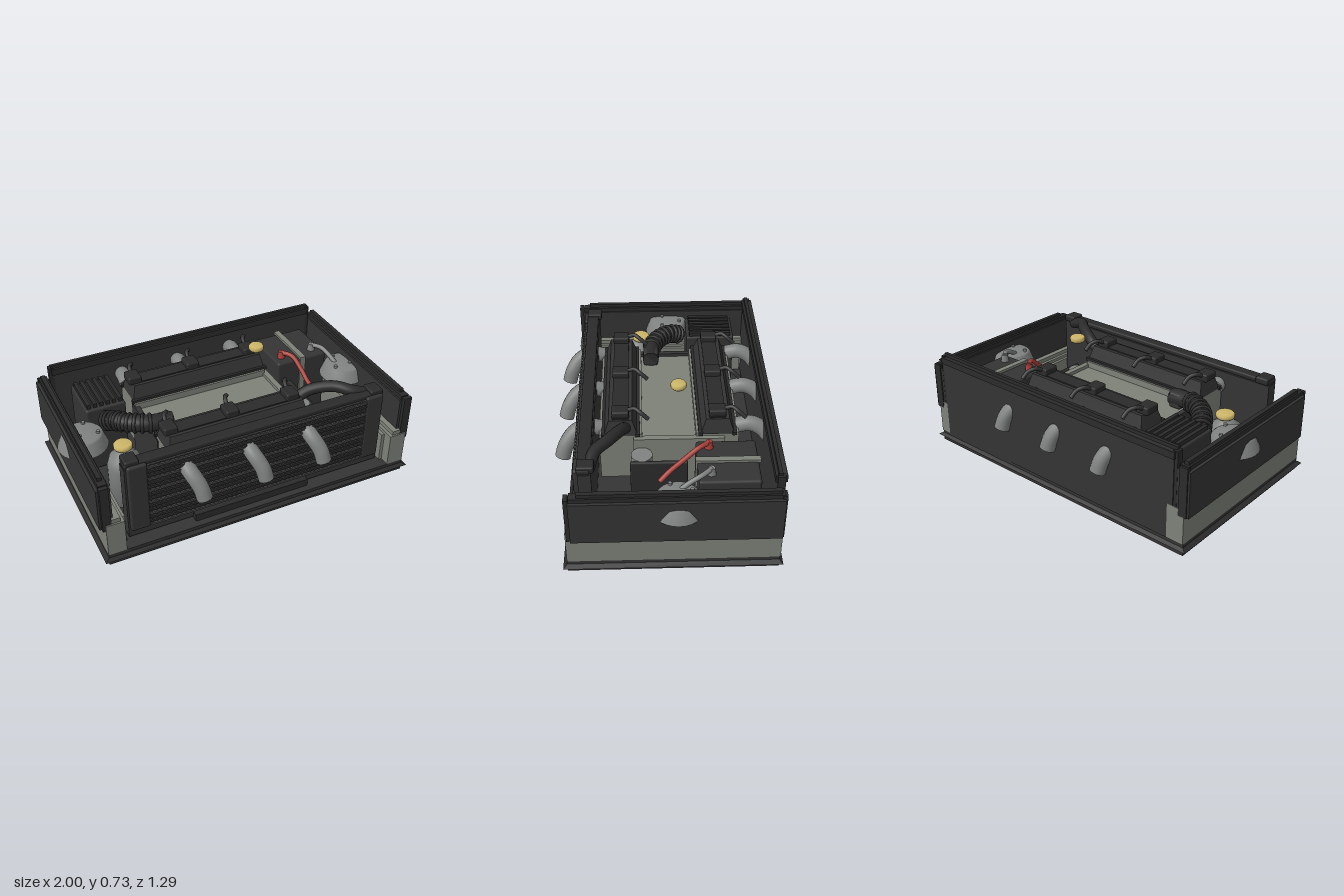
import * as THREE from 'three';
import { RoundedBoxGeometry } from 'three/addons/geometries/RoundedBoxGeometry.js';

const mat = (name, color) => {
  const m = new THREE.MeshStandardMaterial({ color });
  m.name = name;
  return m;
};

export function createModel() {
  const root = new THREE.Group();
  root.name = 'engineBay';
  const dark = mat('dark panel', 0x343434);
  const black = mat('black plastic', 0x2b2b2c);
  const mesh = mat('grille grey', 0x4c4d4c);
  const grey = mat('frame grey', 0x7d8178);
  const metal = mat('pipe metal', 0x7f8281);
  const gold = mat('cap yellow', 0xcdb669);
  const red = mat('cable red', 0xa8403a);

  const add = (name, geo, m, x = 0, y = 0, z = 0) => {
    const o = new THREE.Mesh(geo, m);
    o.name = name;
    o.position.set(x, y, z);
    root.add(o);
    return o;
  };
  // Box given by its limits on each axis
  const box = (name, m, x0, x1, y0, y1, z0, z1, r = 0) => {
    const s = [x1 - x0, y1 - y0, z1 - z0];
    const g = r ? new RoundedBoxGeometry(...s, 2, r) : new THREE.BoxGeometry(...s);
    return add(name, g, m, (x0 + x1) / 2, (y0 + y1) / 2, (z0 + z1) / 2);
  };
  // Four-sided block whose lower and upper rectangles differ
  const taper = (name, m, [w0, d0], [w1, d1], h, x, y, z) => {
    const g = new THREE.BoxGeometry(1, h, 1);
    const p = g.attributes.position;
    for (let i = 0; i < p.count; i++) {
      const up = p.getY(i) > 0;
      p.setX(i, p.getX(i) * (up ? w1 : w0));
      p.setZ(i, p.getZ(i) * (up ? d1 : d0));
    }
    g.computeVertexNormals();
    return add(name, g, m, x, y + h / 2, z);
  };
  const cyl = (name, m, r0, r1, h, x, y, z, n = 24) =>
    add(name, new THREE.CylinderGeometry(r1, r0, h, n), m, x, y + h / 2, z);
  const curve = (pts) => new THREE.CatmullRomCurve3(pts.map((p) => new THREE.Vector3(...p)));
  // Tube with closed ends
  const tube = (name, m, r, pts, n = 16) => {
    const c = curve(pts);
    const t = add(name, new THREE.TubeGeometry(c, n, r, 14), m);
    [0, 1].forEach((u) => {
      const cap = add(name + 'End', new THREE.CircleGeometry(r, 14), m);
      cap.position.copy(c.getPoint(u));
      const dir = c.getTangent(u).multiplyScalar(u ? 1 : -1);
      cap.quaternion.setFromUnitVectors(new THREE.Vector3(0, 0, 1), dir);
    });
    return t;
  };

  // Floor tray with pointed lip
  box('floorTray', dark, -0.935, 0.935, 0, 0.07, -0.57, 0.56);
  taper('trayLipLower', black, [1.87, 1.13], [1.92, 1.17], 0.015, 0, 0.02, -0.004);
  taper('trayLipUpper', black, [1.92, 1.17], [1.87, 1.13], 0.015, 0, 0.035, -0.004);

  // Sides: grey rails, dark wing panels, suspension towers
  for (const s of [-1, 1]) {
    const side = (name, m, a, b, ...rest) =>
      box(name, m, Math.min(s * a, s * b), Math.max(s * a, s * b), ...rest);
    side('sideRail', grey, 0.83, 0.935, 0.07, 0.275, -0.575, 0.56);
    side('railInnerStep', grey, 0.81, 0.85, 0.07, 0.255, -0.52, 0.5);
    side('wingLiner', grey, 0.85, 0.9, 0.27, 0.3, -0.56, 0.55);
    side('wingPanel', dark, 0.885, 0.962, 0.235, 0.5, -0.57, 0.53);
    side('wingTopTrim', black, 0.895, 0.945, 0.5, 0.525, -0.565, 0.525);
    side('wingTopBead', black, 0.91, 0.935, 0.525, 0.545, -0.55, 0.485);
    for (const z of [0.54, -0.565]) side('wingEndTrim', black, 0.9, 0.95, 0.235, 0.52, z - 0.012, z + 0.012);
    const tower = [[0.145, 0.375], [0.118, 0.445], [0.105, 0.455], [0.05, 0.463], [0, 0.465]];
    add('suspensionTower', new THREE.LatheGeometry(
      tower.map((p) => new THREE.Vector2(...p)), 28), metal, s * 0.855, 0, -0.03);
    const under = add('towerUnderside', new THREE.CircleGeometry(0.145, 28), metal, s * 0.855, 0.375, -0.03);
    under.rotation.x = Math.PI / 2;
    for (let i = 0; i < 3; i++) {
      const a = i * 2.094 + 0.5;
      cyl('towerBolt', metal, 0.011, 0.011, 0.02, s * (0.825 + 0.06 * Math.cos(a)), 0.452, -0.03 + 0.075 * Math.sin(a), 8);
    }
  }

  // Rear wall with top and end trims
  box('rearWall', dark, -0.865, 0.865, 0.07, 0.585, -0.575, -0.53);
  box('rearWallTrim', black, -0.87, 0.87, 0.55, 0.605, -0.555, -0.535);
  box('rearWallLedge', black, -0.87, 0.87, 0.545, 0.585, -0.582, -0.52);
  for (const s of [-1, 1]) box('rearWallEnd', black, s * 0.87 - 0.014, s * 0.87 + 0.014, 0.07, 0.59, -0.57, -0.53);

  // Radiator, frame and grille
  box('radiator', dark, -0.79, 0.79, 0.08, 0.545, 0.415, 0.485);
  box('radiatorTopRail', black, -0.79, 0.79, 0.545, 0.575, 0.42, 0.49, 0.01);
  for (const s of [-1, 1]) {
    box('radiatorEndTank', dark, s * 0.725 - 0.055, s * 0.725 + 0.055, 0.13, 0.565, 0.47, 0.51, 0.012);
    box('radiatorBracket', black, s * 0.745 - 0.04, s * 0.745 + 0.04, 0.55, 0.59, 0.4, 0.49, 0.01);
  }
  box('grilleBacking', dark, -0.67, 0.67, 0.13, 0.55, 0.48, 0.502);
  for (let i = 0; i < 16; i++) {
    const y = 0.145 + i * 0.0262;
    box('grilleSlat', i % 3 ? dark : mesh, -0.67, 0.67, y - 0.006, y + 0.006, 0.5, 0.512);
  }
  for (let i = 0; i < 48; i++) {
    const x = -0.66 + i * 0.0281;
    box('grilleBar', dark, x - 0.003, x + 0.003, 0.135, 0.55, 0.5, 0.508);
  }
  box('lowerDuct', black, -0.41, 0.3, 0.07, 0.115, 0.46, 0.52);

  // Engine block with valley cover
  box('engineBlock', grey, -0.47, 0.35, 0.1, 0.42, -0.2, 0.2);
  box('engineFrontPlate', grey, 0.35, 0.385, 0.12, 0.44, -0.31, 0.2);
  box('valleyRim', dark, -0.495, -0.465, 0.1, 0.44, -0.2, 0.2);

  for (const s of [-1, 1]) {
    // Cylinder head, valve cover, ignition coils and leads
    const zc = s * 0.27;
    box('cylinderHead', grey, -0.49, 0.36, 0.15, 0.46, zc - 0.12, zc + 0.12);
    taper('valveCover', dark, [0.86, 0.19], [0.82, 0.13], 0.09, -0.06, 0.46, zc);
    box('valveCoverRidge', black, -0.46, 0.34, 0.54, 0.557, zc - 0.045, zc + 0.045);
    for (const e of [-1, 1]) box('coverFlange', black, -0.5, 0.38, 0.455, 0.475, zc + e * 0.095 - 0.012, zc + e * 0.095 + 0.012);
    for (const x of [-0.455, -0.085, 0.295]) {
      box('coilPack', black, x - 0.04, x + 0.04, 0.545, 0.592, zc - 0.048, zc + 0.048, 0.01);
      tube('coilLead', dark, 0.012, [
        [x, 0.58, zc - 0.04], [x + 0.01, 0.598, zc - 0.08], [x + 0.035, 0.585, zc - 0.115], [x + 0.045, 0.55, zc - 0.155]]);
    }
    // Exhaust pipes through the wall
    for (const x of [-0.39, -0.02, 0.345]) {
      tube('exhaustPipe', metal, 0.045, [
        [x - 0.065, 0.45, s * 0.38], [x - 0.06, 0.465, s * 0.46], [x - 0.045, 0.435, s * 0.53],
        [x - 0.015, 0.37, s * 0.58], [x, 0.3, s * 0.602]], 24);
    }
  }

  // Accessory drive at the engine end
  cyl('alternator', metal, 0.06, 0.06, 0.16, 0.44, 0.22, 0.155);
  box('driveBelt', black, 0.49, 0.515, 0.12, 0.38, -0.1, 0.22, 0.01);

  // Air filter box and ribbed intake hose
  box('airFilterBox', dark, -0.79, -0.55, 0.08, 0.505, -0.44, -0.14, 0.012);
  for (let i = 0; i < 6; i++) {
    const x = -0.765 + i * 0.038;
    box('filterRib', black, x - 0.011, x + 0.011, 0.5, 0.53, -0.42, -0.16);
  }
  const hose = [[-0.69, 0.44, -0.1], [-0.655, 0.47, -0.04], [-0.59, 0.48, 0.03], [-0.49, 0.48, 0.08], [-0.36, 0.47, 0.09]];
  tube('intakeHose', black, 0.05, hose, 28);
  const path = curve(hose);
  for (let i = 0; i < 9; i++) {
    const ring = add('hoseRib', new THREE.TorusGeometry(0.05, 0.011, 6, 20), black);
    ring.position.copy(path.getPoint(0.03 + i * 0.09));
    ring.quaternion.setFromUnitVectors(new THREE.Vector3(0, 0, 1), path.getTangent(0.03 + i * 0.09));
  }
  box('hoseCoupling', dark, -0.44, -0.36, 0.42, 0.515, 0.045, 0.135, 0.015);

  // Coolant bottle and yellow caps
  const bottle = [[0, 0.07], [0.1, 0.07], [0.1, 0.32], [0.085, 0.37], [0.05, 0.395], [0.04, 0.42], [0, 0.42]];
  add('coolantBottle', new THREE.LatheGeometry(bottle.map((p) => new THREE.Vector2(...p)), 24), metal, -0.68, 0, 0.16);
  const cap = (name, r, x, y, z) => {
    const p = [[0, -0.017], [r * 0.85, -0.017], [r, -0.008], [r, 0.008], [r * 0.85, 0.017], [0, 0.017]];
    add(name, new THREE.LatheGeometry(p.map((q) => new THREE.Vector2(...q)), 20), gold, x, y, z);
  };
  cap('coolantCap', 0.054, -0.68, 0.435, 0.15);
  cap('oilCap', 0.044, 0.245, 0.71, -0.055);

  // Radiator hose
  tube('radiatorHose', black, 0.034, [
    [0.35, 0.5, 0.245], [0.43, 0.55, 0.265], [0.55, 0.58, 0.33], [0.63, 0.57, 0.4], [0.73, 0.54, 0.43]], 24);

  // Battery with clamp, terminals and cables
  box('battery', dark, 0.45, 0.79, 0.08, 0.48, -0.47, -0.14, 0.015);
  box('batteryClamp', grey, 0.602, 0.638, 0.478, 0.495, -0.48, -0.13);
  box('batteryClampStrap', grey, 0.602, 0.638, 0.12, 0.49, -0.14, -0.13);
  cyl('positiveTerminal', red, 0.025, 0.018, 0.045, 0.508, 0.478, -0.21, 14);
  cyl('negativeTerminal', metal, 0.025, 0.018, 0.045, 0.722, 0.478, -0.21, 14);
  tube('positiveCable', red, 0.014, [[0.508, 0.515, -0.21], [0.55, 0.51, -0.15], [0.575, 0.45, -0.07], [0.59, 0.39, 0], [0.62, 0.34, 0.06]], 24);
  tube('negativeCable', metal, 0.014, [[0.722, 0.515, -0.21], [0.765, 0.51, -0.16], [0.79, 0.48, -0.09], [0.81, 0.44, -0.03]], 20);

  return root;
}
